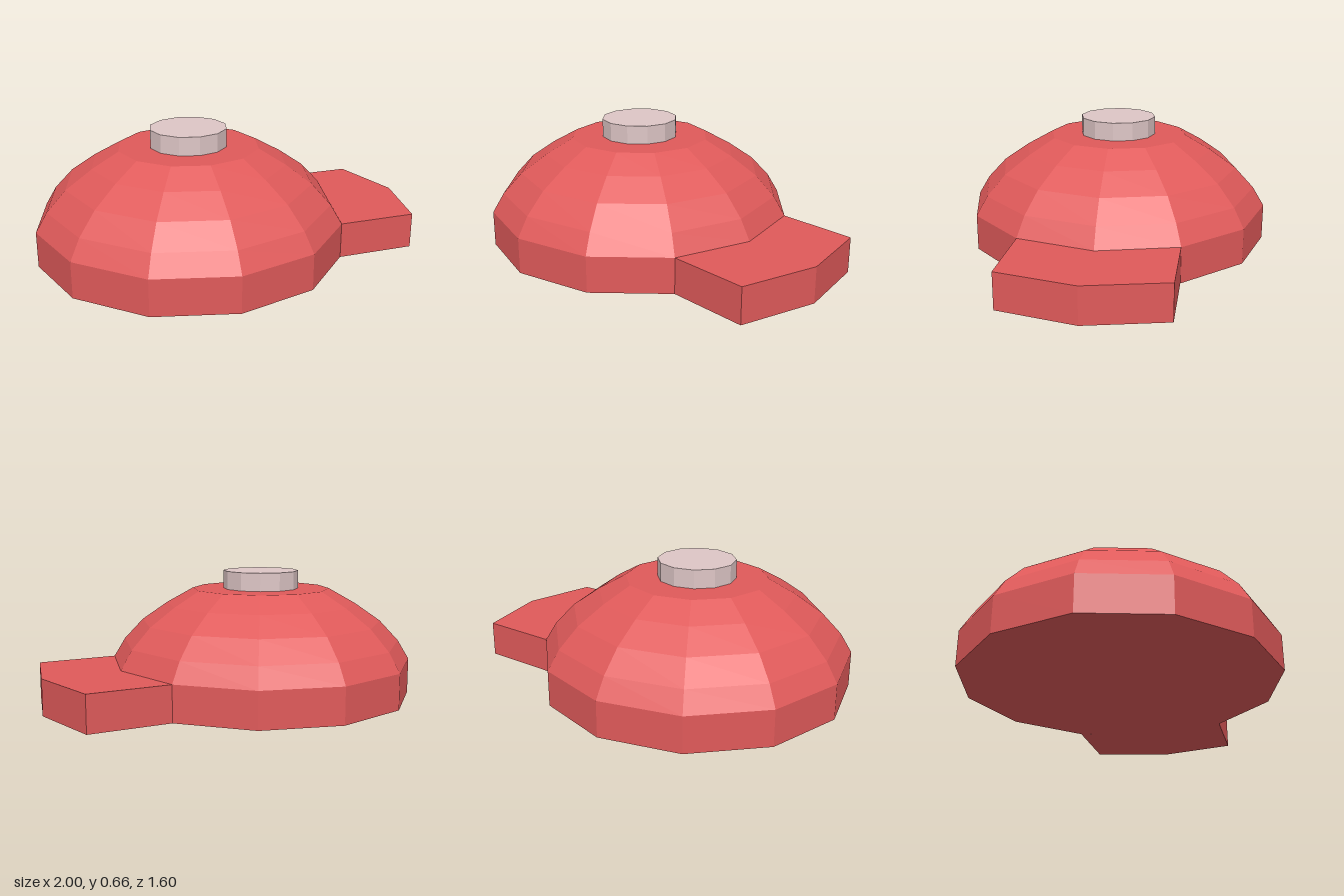
import * as THREE from 'three';

const CROWN_X = -0.2;
const SIDES = 12;

// Give every face its own normal for the faceted look
function faceted(geometry) {
  const flat = geometry.index ? geometry.toNonIndexed() : geometry;
  flat.computeVertexNormals();
  return flat;
}

export function createModel() {
  const red = new THREE.MeshStandardMaterial({ color: 0xe05a5a });
  red.name = 'red cloth';
  const pale = new THREE.MeshStandardMaterial({ color: 0xdec6c6 });
  pale.name = 'pale button';

  const cap = new THREE.Group();
  cap.name = 'cap';

  const add = (name, geometry, material, x = 0, y = 0) => {
    const mesh = new THREE.Mesh(faceted(geometry), material);
    mesh.name = name;
    mesh.position.set(x, y, 0);
    cap.add(mesh);
  };

  // Domed crown with a straight band and a flat top
  const profile = [
    [0, 0], [0.8, 0], [0.8, 0.185], [0.74, 0.285],
    [0.64, 0.392], [0.505, 0.486], [0.365, 0.565], [0, 0.565],
  ].map(([r, y]) => new THREE.Vector2(r, y));
  add('crown', new THREE.LatheGeometry(profile, SIDES), red, CROWN_X);

  // Button on top of the crown
  add('button', new THREE.CylinderGeometry(0.2, 0.2, 0.095, SIDES), pale, CROWN_X, 0.6125);

  // Brim, its inner edge following the crown and its outer edge pointed
  const outline = [
    [0.493, -0.4], [0.907, -0.4], [1, 0], [0.907, 0.4], [0.493, 0.4], [0.6, 0],
  ].map(([x, z]) => new THREE.Vector2(x, z));
  const brim = new THREE.ExtrudeGeometry(new THREE.Shape(outline), { depth: 0.185, bevelEnabled: false });
  brim.rotateX(-Math.PI / 2);
  add('brim', brim, red);

  return cap;
}
